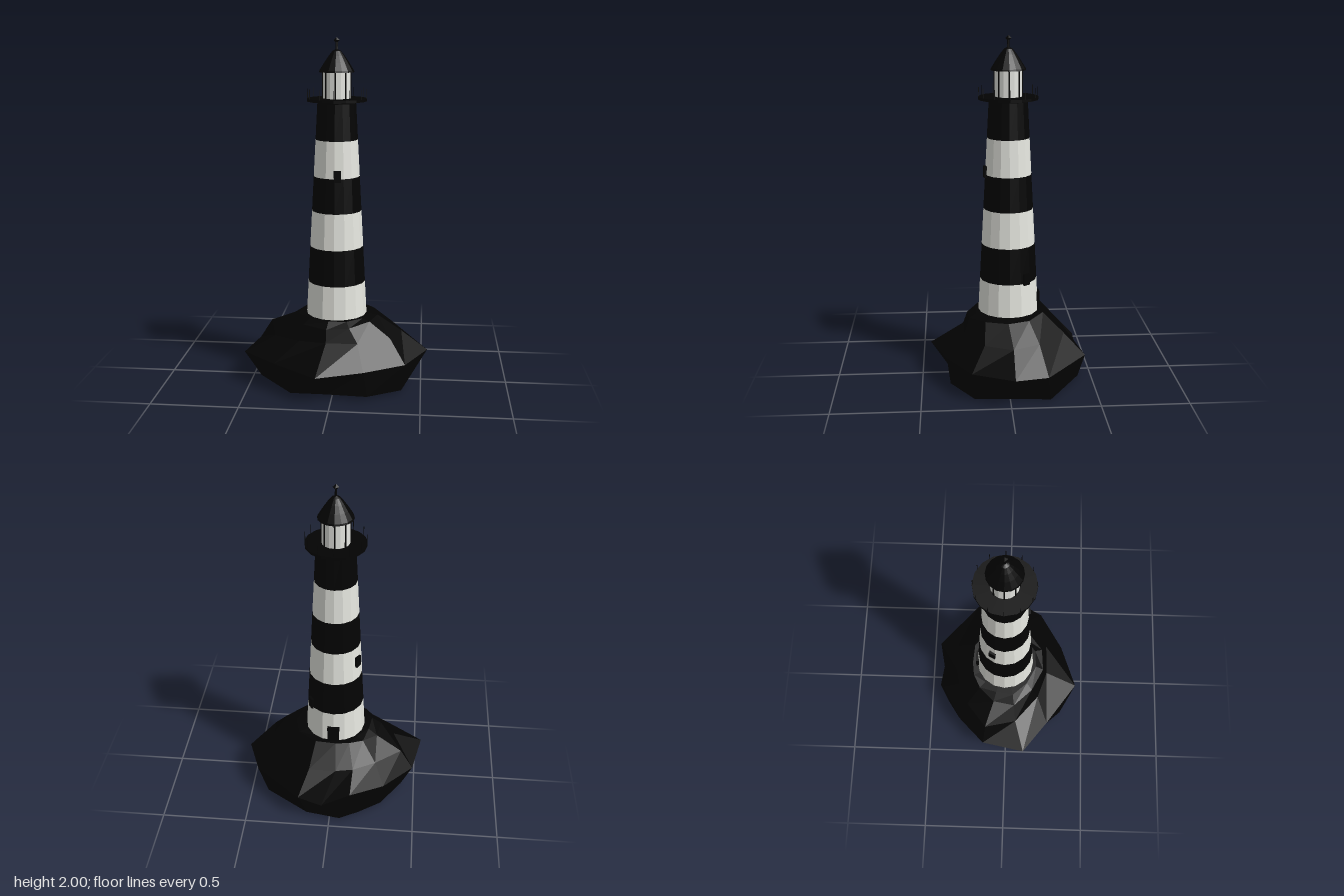
import * as THREE from 'three';

const mat = (name, color) => {
  const m = new THREE.MeshStandardMaterial({ color, flatShading: true });
  m.name = name;
  return m;
};

// Joins closed rings of points (bottom to top, anticlockwise from above) and caps both ends
function loftRings(rings) {
  const n = rings[0].length;
  const pos = rings.flat(2);
  const idx = [];
  for (let r = 0; r < rings.length - 1; r++) {
    for (let i = 0; i < n; i++) {
      const j = (i + 1) % n, a = r * n, b = a + n;
      idx.push(a + i, a + j, b + j, a + i, b + j, b + i);
    }
  }
  const top = (rings.length - 1) * n, lo = rings.length * n, hi = lo + 1;
  pos.push(0, 0.018, 0, 0, 0.41, -0.01);
  for (let i = 0; i < n; i++) {
    const j = (i + 1) % n;
    idx.push(lo, j, i, hi, top + i, top + j);
  }
  const g = new THREE.BufferGeometry();
  g.setAttribute('position', new THREE.Float32BufferAttribute(pos, 3));
  g.setIndex(idx);
  const flat = g.toNonIndexed();
  flat.computeVertexNormals();
  return flat;
}

export function createModel() {
  const model = new THREE.Group();
  model.name = 'lighthouse';
  const white = mat('white paint', 0xe6e7e0);
  const black = mat('black paint', 0x030303);
  const rockMat = mat('dark rock', 0x030303);
  const glass = mat('lantern glass', 0xe6e7e2);

  const add = (parent, name, geo, material, x = 0, y = 0, z = 0) => {
    const m = new THREE.Mesh(geo, material);
    m.name = name;
    m.position.set(x, y, z);
    parent.add(m);
    return m;
  };

  // Rock island
  const foot = [[.415, .015, -.02], [.4, 0, -.23], [.14, .02, -.416], [-.06, .02, -.45], [-.17, .02, -.39], [-.3, .02, -.3],
    [-.42, .03, -.13], [-.44, .03, .1], [-.23, .035, .355], [-.03, .03, .345], [.2, .02, .335], [.39, .01, .2]];
  const waist = [[.535, .18, -.02], [.46, .16, -.21], [.185, .17, -.45], [.05, .09, -.425], [-.12, .18, -.415], [-.315, .17, -.31],
    [-.485, .18, -.145], [-.535, .18, .115], [-.34, .17, .265], [-.08, .165, .45], [.18, .17, .355], [.41, .17, .215]];
  const shoulder = [[.38, .295, -.02], [.32, .3, -.17], [.13, .29, -.33], [-.03, .29, -.33], [-.13, .29, -.31], [-.26, .3, -.25],
    [-.41, .3, -.13], [-.36, .27, .06], [-.2, .29, .2], [-.04, .3, .255], [.14, .3, .25], [.32, .3, .14]];
  const crown = [[.24, .395, 0], [.21, .4, -.12], [.1, .41, -.21], [-.02, .41, -.22], [-.1, .41, -.21], [-.18, .4, -.17],
    [-.26, .37, -.08], [-.28, .36, .05], [-.18, .375, .16], [-.04, .37, .23], [.09, .38, .22], [.2, .395, .13]];
  const ledge = crown.map(([x, , z]) => [x * 0.8, 0.405, z * 0.8]);
  add(model, 'rock', loftRings([foot, waist, shoulder, crown, ledge]), rockMat);

  const tower = new THREE.Group();
  tower.name = 'tower';
  tower.position.set(-0.003, 0, -0.013);
  model.add(tower);

  // Tapered tower in alternating painted bands
  const yLevels = [0.395, 0.6, 0.81, 1.02, 1.22, 1.43, 1.645];
  const radiusAt = (y) => 0.177 - (y - 0.4) * 0.054;
  for (let i = 0; i < 6; i++) {
    const a = yLevels[i], b = yLevels[i + 1];
    add(tower, i % 2 ? 'blackBand' : 'whiteBand',
      new THREE.CylinderGeometry(radiusAt(b), radiusAt(a), b - a, 16, 1, true),
      i % 2 ? black : white, 0, (a + b) / 2, 0);
  }

  // Windows spiralling up the tower, and the door at the back
  const opening = (name, deg, y, w, h) => {
    const t = THREE.MathUtils.degToRad(deg), r = radiusAt(y) - 0.002;
    const m = add(tower, name, new THREE.BoxGeometry(w, h, 0.024), black, Math.sin(t) * r, y, Math.cos(t) * r);
    m.rotation.y = t;
  };
  opening('window', 125, 0.625, 0.04, 0.066);
  opening('window', 242, 0.928, 0.04, 0.066);
  opening('window', 7, 1.235, 0.04, 0.066);
  opening('door', 180, 0.45, 0.07, 0.11);

  // Gallery deck with a small flare underneath
  add(tower, 'galleryDeck', new THREE.CylinderGeometry(0.17, 0.17, 0.016, 16), black, 0, 1.654, 0);
  add(tower, 'galleryFlare', new THREE.CylinderGeometry(0.13, 0.11, 0.012, 16), black, 0, 1.641, 0);

  // Railing posts
  for (let i = 0; i < 12; i++) {
    const t = i * Math.PI / 6;
    add(tower, 'railPost', new THREE.CylinderGeometry(0.0018, 0.0018, 0.055, 5), black,
      Math.sin(t) * 0.166, 1.688, Math.cos(t) * 0.166);
  }

  // Glazed lantern room with glazing bars
  add(tower, 'lanternGlass', new THREE.CylinderGeometry(0.078, 0.078, 0.155, 16), glass, 0, 1.737, 0);
  for (let i = 0; i < 8; i++) {
    const t = i * Math.PI / 4;
    const bar = add(tower, 'glazingBar', new THREE.BoxGeometry(0.008, 0.155, 0.008), black,
      Math.sin(t) * 0.078, 1.737, Math.cos(t) * 0.078);
    bar.rotation.y = t;
  }

  // Domed roof and finial
  const roof = [[0, 1.808], [0.1, 1.808], [0.097, 1.818], [0.071, 1.86], [0.046, 1.897], [0.024, 1.925], [0, 1.938]];
  add(tower, 'roof', new THREE.LatheGeometry(roof.map(([x, y]) => new THREE.Vector2(x, y)), 16), black);
  add(tower, 'finialRod', new THREE.CylinderGeometry(0.006, 0.008, 0.06, 6), black, 0, 1.95, 0);
  add(tower, 'finialBall', new THREE.OctahedronGeometry(0.017), black, 0, 1.983, 0);

  return model;
}
